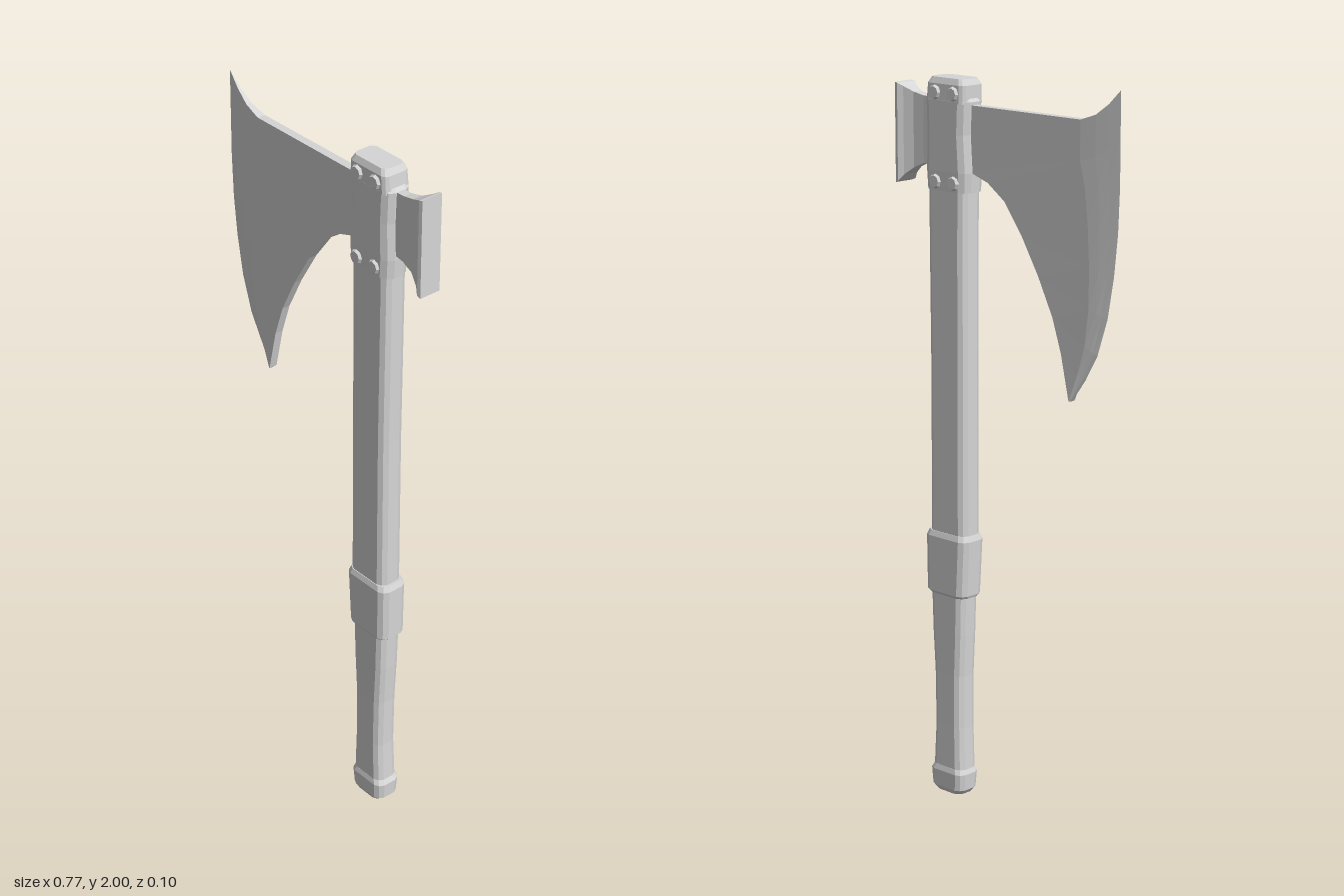
import * as THREE from 'three';

const steel = new THREE.MeshStandardMaterial({ color: 0xd6d6d6, flatShading: true });
steel.name = 'plain grey';

// Closed solid through rings of equal point count, turned outward by its signed volume
function loft(name, rings) {
  const n = rings[0].length;
  const pos = rings.flat(2);
  const index = [];
  for (let r = 0; r < rings.length - 1; r++) {
    for (let i = 0; i < n; i++) {
      const a = r * n + i, b = r * n + (i + 1) % n;
      index.push(a, b, a + n, b, b + n, a + n);
    }
  }
  // End caps as zigzag strips across the ring
  const last = (rings.length - 1) * n;
  const cap = (a, b, c) => index.push(a, c, b, last + a, last + b, last + c);
  for (let lo = 0, hi = n - 1; lo + 1 < hi; lo++, hi--) {
    cap(lo, lo + 1, hi);
    if (lo + 2 < hi) cap(lo + 1, hi - 1, hi);
  }
  let volume = 0;
  const p = (k) => new THREE.Vector3().fromArray(pos, index[k] * 3);
  for (let k = 0; k < index.length; k += 3) volume += p(k).dot(p(k + 1).cross(p(k + 2)));
  if (volume < 0) index.reverse();
  const geo = new THREE.BufferGeometry();
  geo.setAttribute('position', new THREE.Float32BufferAttribute(pos, 3));
  geo.setIndex(index);
  const flat = geo.toNonIndexed();
  flat.computeVertexNormals();
  const mesh = new THREE.Mesh(flat, steel);
  mesh.name = name;
  return mesh;
}

// Horizontal rectangle with rounded corners: height, left x, right x, half depth, corner size
function section([y, x0, x1, h, c]) {
  const k = c * 0.35;
  const quarter = [[0, c], [k, k], [c, 0]];
  const cx = (x0 + x1) / 2, w = (x1 - x0) / 2;
  const corner = (sx, sz) => quarter.map(([a, b]) => [cx + sx * (w - a), y, sz * (h - b) - 0.001]);
  return [
    ...corner(1, 1), ...corner(-1, 1).reverse(),
    ...corner(-1, -1), ...corner(1, -1).reverse(),
  ];
}
const post = (name, rows) => loft(name, rows.map(section));

function buildBlade() {
  // Cutting edge and back outline, both from the top corner to the lower point
  const edge = [[-.385, 2], [-.385, 1.88], [-.385, 1.76], [-.38, 1.64], [-.368, 1.53],
    [-.348, 1.42], [-.315, 1.32], [-.275, 1.25], [-.229, 1.188]];
  const back = [[.13, 1.917], [.13, 1.745], [.06, 1.722], [0, 1.68], [-.06, 1.6],
    [-.12, 1.5], [-.17, 1.4], [-.2, 1.31], [-.227, 1.19]];
  // Stations across the blade: fraction, half thickness, drop of the top horn
  const stations = [[.07, .004, .45], [.146, .008, .8], [.24, .0115, 1], [1, .012, 1]];
  const rings = edge.map((e, i) => {
    const b = back[i];
    const horn = (1 - i / 8) ** 8;
    const at = ([f, z, drop], side) => [
      e[0] + (b[0] - e[0]) * f,
      e[1] + (b[1] - e[1]) * (f + (drop - f) * horn),
      z * side - 0.001,
    ];
    return [
      at([0, 0, 0], 1),
      ...stations.map((s) => at(s, 1)),
      ...stations.map((s) => at(s, -1)).reverse(),
    ];
  });
  return loft('blade', rings);
}

export function createModel() {
  const axe = new THREE.Group();
  axe.name = 'axe';

  // Handle
  axe.add(post('pommel', [
    [0.005, .156, .25, .032, .02], [0.018, .146, .263, .038, .02],
    [0.065, .142, .266, .040, .02], [0.08, .148, .258, .036, .02],
  ]));
  axe.add(post('grip', [
    [0.07, .147, .259, .036, .02], [0.2, .15, .252, .035, .02], [0.35, .149, .254, .035, .02],
    [0.47, .143, .26, .036, .02], [0.6, .139, .263, .037, .02],
  ]));
  axe.add(post('handleBand', [
    [0.578, .133, .268, .039, .022], [0.585, .13, .275, .043, .022],
    [0.74, .121, .276, .044, .022], [0.755, .126, .27, .039, .022],
  ]));
  axe.add(post('shaft', [
    [0.74, .13, .262, .037, .02], [1.2, .128, .26, .037, .02],
    [1.5, .127, .262, .037, .02], [1.75, .125, .263, .037, .02],
  ]));

  // Head socket and top cap
  axe.add(post('socket', [
    [1.688, .117, .267, .040, .025], [1.74, .114, .27, .041, .025],
    [1.84, .12, .267, .041, .025], [1.925, .116, .27, .041, .025], [1.935, .123, .262, .04, .025],
  ]));
  axe.add(post('topCap', [
    [1.92, .122, .262, .041, .014], [1.968, .122, .257, .040, .014],
    [1.984, .13, .248, .033, .014],
  ]));

  // Blade and flared hammer poll
  axe.add(buildBlade());
  const poll = [[.25, 1.755, 1.925, .012], [.295, 1.748, 1.927, .012], [.33, 1.733, 1.934, .014],
    [.358, 1.712, 1.947, .024], [.372, 1.695, 1.955, .033], [.382, 1.69, 1.957, .031]];
  axe.add(loft('hammerPoll', poll.map(([x, y0, y1, h]) => [
    [x, y0, -h], [x, y1, -h], [x, y1, h], [x, y0, h],
  ])));

  // Rivets on both faces
  const rivetGeo = new THREE.CylinderGeometry(.016, .022, .012, 8).rotateX(Math.PI / 2);
  for (const side of [1, -1]) {
    for (const y of [1.712, 1.945]) {
      for (const x of [.157, .222]) {
        const rivet = new THREE.Mesh(rivetGeo, steel);
        rivet.name = 'rivet';
        rivet.position.set(x, y, side * .042 - .001);
        if (side < 0) rivet.rotation.y = Math.PI;
        axe.add(rivet);
      }
    }
  }
  return axe;
}
